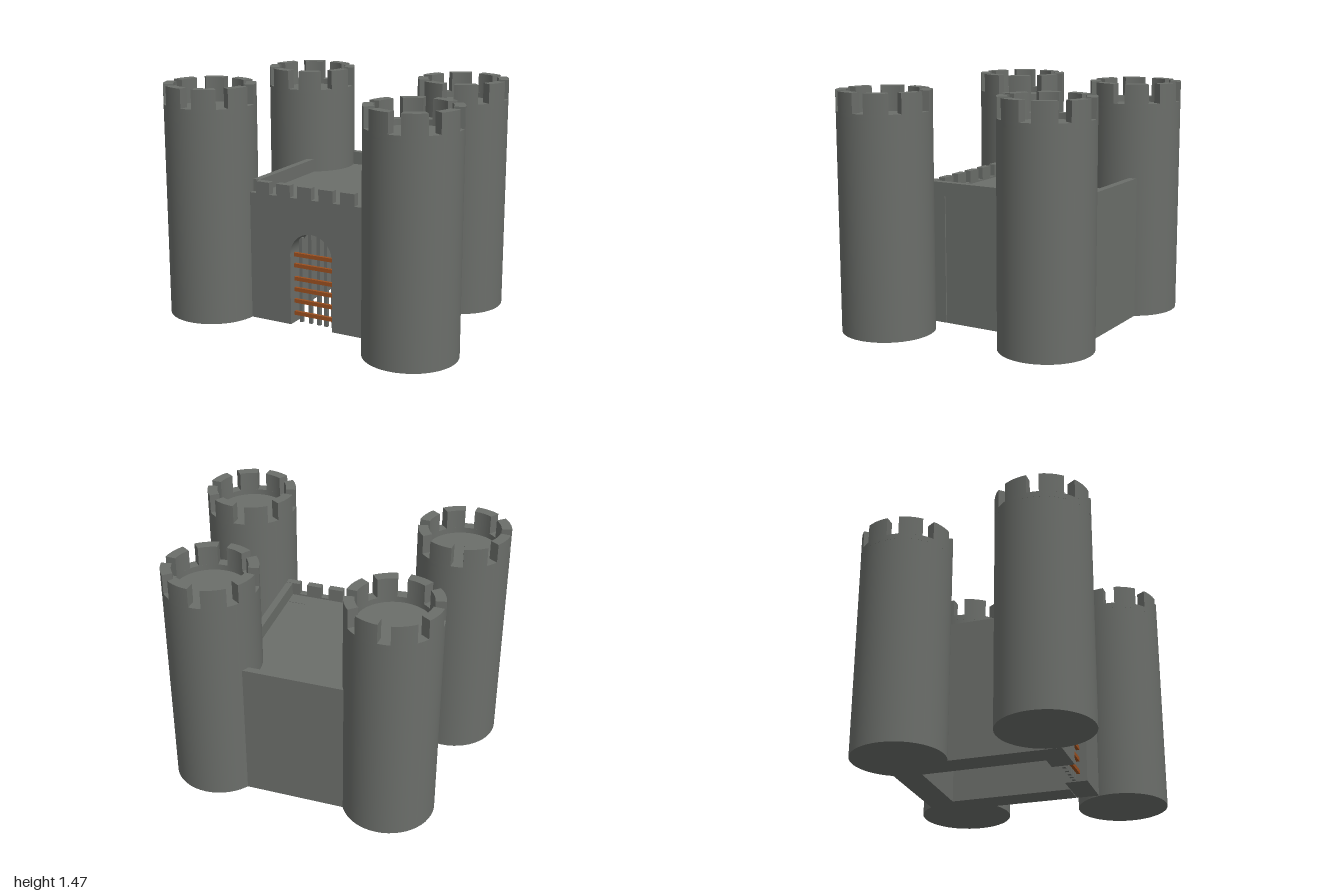
import * as THREE from 'three';
import { toCreasedNormals } from 'three/addons/utils/BufferGeometryUtils.js';

const stone = new THREE.MeshStandardMaterial({ color: 0x6b6e6a });
stone.name = 'grey stone';
const wood = new THREE.MeshStandardMaterial({ color: 0x9c5020 });
wood.name = 'brown wood';

function add(parent, name, geometry, material = stone) {
  const mesh = new THREE.Mesh(geometry, material);
  mesh.name = name;
  parent.add(mesh);
  return mesh;
}

// Upright prism from a plan shape (shape y is -z)
function prism(shape, y0, y1) {
  const g = new THREE.ExtrudeGeometry(shape, { depth: y1 - y0, bevelEnabled: false, curveSegments: 48 });
  g.rotateX(-Math.PI / 2).translate(0, y0, 0);
  return toCreasedNormals(g, 0.5);
}

const plan = (points) => new THREE.Shape(points.map(([x, z]) => new THREE.Vector2(x, -z)));

// Round tower with a sunken floor and eight merlons
function makeTower() {
  const tower = new THREE.Group();
  const R = 0.285, r = 0.222, floor = 1.31, sill = 1.345, top = 1.465;
  add(tower, 'towerBody', new THREE.CylinderGeometry(R, R, floor, 48).translate(0, floor / 2, 0));

  const ring = new THREE.Shape().absarc(0, 0, R, 0, Math.PI * 2, false);
  ring.holes.push(new THREE.Path().absarc(0, 0, r, 0, Math.PI * 2, true));
  add(tower, 'towerParapet', prism(ring, floor, sill));

  for (let i = 0; i < 8; i++) {
    const a = THREE.MathUtils.degToRad(11 + i * 45);
    const b = a + THREE.MathUtils.degToRad(30);
    const arc = new THREE.Shape();
    arc.absarc(0, 0, R, a, b, false);
    arc.absarc(0, 0, r, b, a, true);
    arc.closePath();
    add(tower, 'towerMerlon', prism(arc, sill, top));
  }
  return tower;
}

// Three-sided wall: back, left and right, open at the front
function wallPlan(t, front) {
  return plan([
    [-0.43, front], [-0.43 + t, front], [-0.415 + t, -0.66 + t], [0.45 - t, -0.655 + t],
    [0.44 - t, front], [0.44, front], [0.45, -0.655], [-0.415, -0.665],
  ]);
}

function makeHall() {
  const hall = new THREE.Group();
  const roofY = 0.8, top = 0.885, sill = 0.81;
  add(hall, 'hallWalls', prism(wallPlan(0.17, 0.285), 0, roofY));
  add(hall, 'wallParapet', prism(wallPlan(0.043, 0.38), roofY, top));
  add(hall, 'roof', prism(plan([[-0.27, 0.3], [0.28, 0.3], [0.29, -0.49], [-0.25, -0.49]]), 0.7, roofY));

  // Front wall with arched gateway
  const front = new THREE.Group();
  front.name = 'frontWall';
  front.position.z = 0.425;
  front.rotation.y = -0.011;
  hall.add(front);
  const door = 0.146, spring = 0.45;
  const wall = new THREE.Shape();
  wall.moveTo(-0.43, 0);
  wall.lineTo(-door, 0);
  wall.lineTo(-door, spring);
  wall.absarc(0, spring, door, Math.PI, 0, true);
  wall.lineTo(door, 0);
  wall.lineTo(0.44, 0);
  wall.lineTo(0.44, roofY);
  wall.lineTo(-0.43, roofY);
  wall.closePath();
  const wallGeo = new THREE.ExtrudeGeometry(wall, { depth: 0.14, bevelEnabled: false, curveSegments: 24 });
  add(front, 'gateWall', toCreasedNormals(wallGeo.translate(0, 0, -0.14), 0.5));

  // Low front parapet with merlons
  add(front, 'frontSill', new THREE.BoxGeometry(0.87, sill - roofY, 0.045)
    .translate(0.005, (sill + roofY) / 2, -0.0225));
  for (let i = 0; i < 6; i++) {
    const x0 = -0.387 + i * 0.147, x1 = Math.min(x0 + 0.096, 0.44);
    add(front, 'frontMerlon', new THREE.BoxGeometry(x1 - x0, top - sill, 0.045)
      .translate((x0 + x1) / 2, (top + sill) / 2, -0.0225));
  }

  // Gate grille: stone-grey uprights behind brown crossbars
  for (const x of [-0.11, -0.045, 0.015, 0.065, 0.115]) {
    const h = spring + Math.sqrt(door * door - x * x);
    add(front, 'gateUpright', new THREE.BoxGeometry(0.022, h, 0.022).translate(x, h / 2, -0.075));
  }
  for (const y of [0.06, 0.14, 0.215, 0.285, 0.37, 0.44]) {
    add(front, 'gateCrossbar', new THREE.BoxGeometry(door * 2, 0.024, 0.02).translate(0, y, -0.055), wood);
  }
  return hall;
}

export function createModel() {
  const castle = new THREE.Group();
  castle.name = 'castle';
  const hall = makeHall();
  hall.name = 'hall';
  castle.add(hall);

  const spots = {
    backRightTower: [-0.525, -0.53],
    backLeftTower: [0.585, -0.495],
    frontRightTower: [-0.715, 0.405],
    frontLeftTower: [0.715, 0.525],
  };
  for (const [name, [x, z]] of Object.entries(spots)) {
    const tower = makeTower();
    tower.name = name;
    tower.position.set(x, 0, z);
    castle.add(tower);
  }
  return castle;
}
